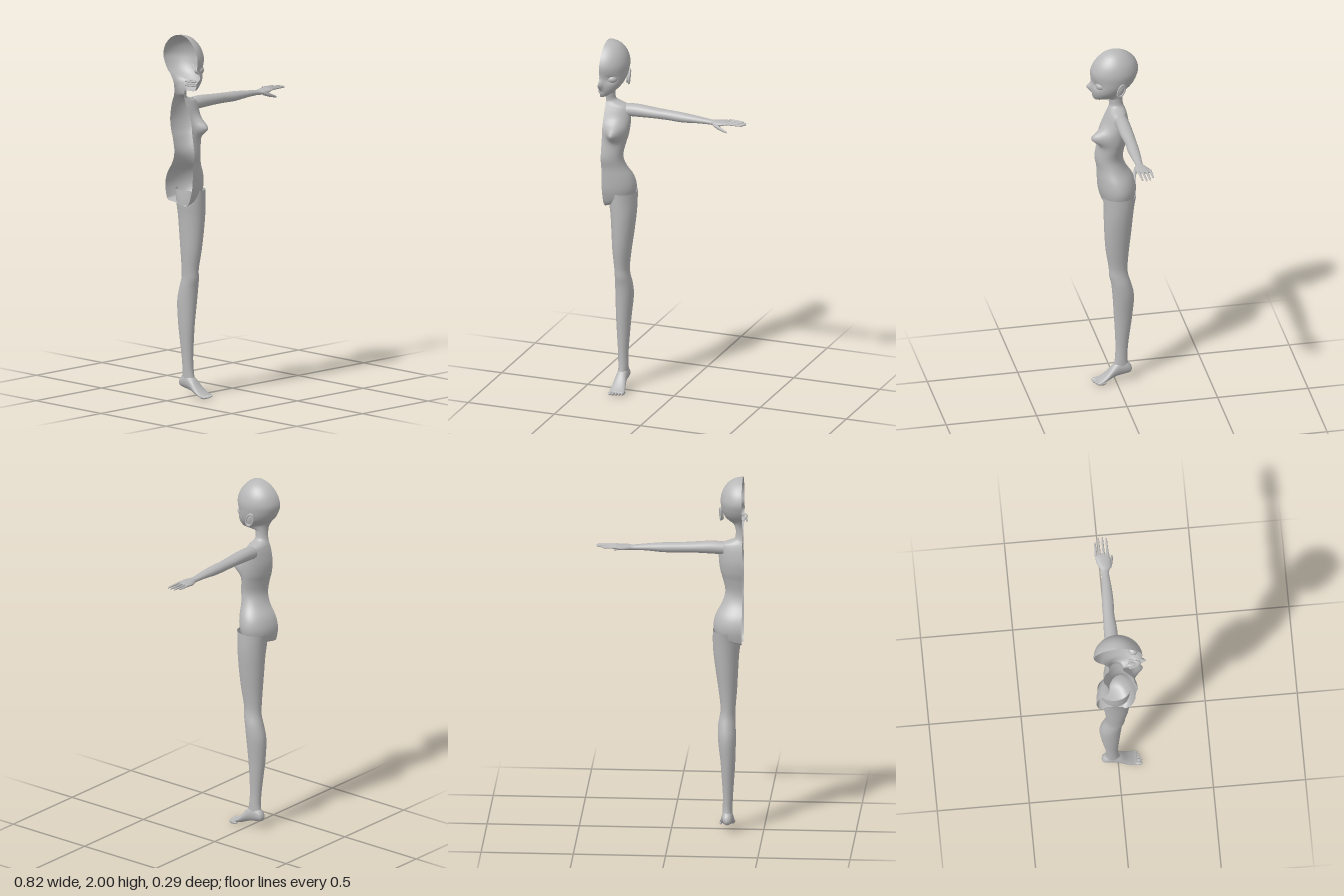
import * as THREE from 'three';

const MID = -0.387; // plane where the half figure is cut open
const skin = new THREE.MeshStandardMaterial({ color: 0xb8b8b8, side: THREE.DoubleSide });
skin.name = 'plain grey';

// Smoothly subdivides rows of numbers
function resample(rows, steps) {
  const out = [];
  for (let i = 0; i < rows.length - 1; i++) {
    const a = rows[Math.max(i - 1, 0)], b = rows[i], c = rows[i + 1], d = rows[Math.min(i + 2, rows.length - 1)];
    for (let k = 0; k < steps; k++) {
      const t = k / steps;
      out.push(b.map((v, n) => v + 0.5 * t * (c[n] - a[n]
        + t * (2 * a[n] - 5 * v + 4 * c[n] - d[n] + t * (3 * (v - c[n]) + d[n] - a[n])))));
    }
  }
  out.push(rows[rows.length - 1]);
  return out;
}

// Skins a list of rings, each a list of [x, y, z]
function skinRings(rings, closed) {
  const n = rings[0].length, index = [];
  for (let i = 0; i < rings.length - 1; i++) {
    for (let j = 0; j < (closed ? n : n - 1); j++) {
      const k = (j + 1) % n, a = i * n + j, b = i * n + k;
      index.push(a, b, a + n, b, b + n, a + n);
    }
  }
  const geo = new THREE.BufferGeometry();
  geo.setAttribute('position', new THREE.Float32BufferAttribute(rings.flat(2), 3));
  geo.setIndex(index);
  geo.computeVertexNormals();
  return geo;
}

// Closed elliptical loft; rows are [station, u0, u1, v0, v1]
const alongX = (s, u, v) => [s, u, v];
const alongY = (s, u, v) => [v, s, u];
const alongZ = (s, u, v) => [u, v, s];
function limb(rows, place, sides = 20, steps = 3) {
  return skinRings(resample(rows, steps).map(([s, u0, u1, v0, v1]) =>
    Array.from({ length: sides }, (_, j) => {
      const t = (j / sides) * Math.PI * 2;
      return place(s, (u0 + u1) / 2 + (u1 - u0) / 2 * Math.cos(t), (v0 + v1) / 2 + (v1 - v0) / 2 * Math.sin(t));
    })), true);
}

function add(group, name, geo, pos = [0, 0, 0], scale = [1, 1, 1], rot = [0, 0, 0]) {
  const mesh = new THREE.Mesh(geo, skin);
  mesh.name = name;
  mesh.position.set(...pos);
  mesh.scale.set(...scale);
  mesh.rotation.set(...rot);
  group.add(mesh);
  return mesh;
}

// Half shell of pelvis, torso, neck and head: [frontY, backY, frontZ, backZ, halfWidth]
const BODY = [
  [1.056, 1.075, 0.03, -0.09, 0.012], [1.07, 1.085, 0.05, -0.108, 0.07],
  [1.1, 1.1, 0.066, -0.115, 0.135], [1.16, 1.16, 0.082, -0.125, 0.158],
  [1.225, 1.225, 0.087, -0.11, 0.147], [1.29, 1.29, 0.09, -0.07, 0.112],
  [1.35, 1.35, 0.1, -0.055, 0.097], [1.42, 1.42, 0.09, -0.066, 0.11],
  [1.47, 1.47, 0.08, -0.08, 0.122], [1.53, 1.53, 0.072, -0.087, 0.13],
  [1.59, 1.59, 0.05, -0.08, 0.13], [1.628, 1.628, 0.033, -0.07, 0.12],
  [1.645, 1.645, 0.025, -0.063, 0.08], [1.66, 1.66, 0.02, -0.058, 0.045],
  [1.69, 1.69, 0.022, -0.055, 0.038], [1.7, 1.73, 0.03, -0.06, 0.04],
  [1.704, 1.76, 0.095, -0.075, 0.052], [1.72, 1.775, 0.11, -0.085, 0.074],
  [1.75, 1.79, 0.12, -0.1, 0.095], [1.79, 1.81, 0.122, -0.115, 0.109],
  [1.83, 1.84, 0.12, -0.13, 0.117], [1.88, 1.88, 0.124, -0.14, 0.121],
  [1.93, 1.93, 0.105, -0.125, 0.108], [1.97, 1.97, 0.07, -0.09, 0.08],
  [1.992, 1.992, 0.035, -0.05, 0.045], [2, 2, 0, -0.01, 0.002],
];

// Soft swellings and hollows on the front: [dx, y, spreadX, spreadY, depth]
const BUMPS = [
  [0.072, 1.495, 0.04, 0.04, 0.07],   // breast
  [0, 1.782, 0.014, 0.02, 0.024],     // nose
  [0.057, 1.81, 0.028, 0.018, -0.014], // eye socket
  [0, 1.742, 0.02, 0.008, -0.006],    // mouth
];

function bodyShell() {
  const sides = 40;
  return skinRings(resample(BODY, 4).map(([yf, yb, zf, zb, w]) =>
    Array.from({ length: sides + 1 }, (_, j) => {
      const t = (j / sides) * Math.PI, c = Math.cos(t);
      const dx = w * Math.sin(t), y = yf + (yb - yf) * (1 - c) / 2;
      let z = (zf + zb) / 2 + (zf - zb) / 2 * c;
      if (c > 0) {
        for (const [bx, by, sx, sy, d] of BUMPS) {
          z += d * Math.exp(-(((dx - bx) / sx) ** 2) - ((y - by) / sy) ** 2) * Math.min(1, c * 3);
        }
      }
      return [MID + dx, y, z];
    })), false);
}

export function createModel() {
  const model = new THREE.Group();
  model.name = 'halfFigure';
  const ball = new THREE.SphereGeometry(1, 24, 16);

  add(model, 'bodyShell', bodyShell());

  // Face details
  const head = new THREE.Group();
  head.name = 'headDetails';
  model.add(head);
  add(head, 'eye', ball, [-0.329, 1.81, 0.077], [0.03, 0.023, 0.026], [0, 0.4, 0]);
  add(head, 'upperEyelid', new THREE.TorusGeometry(0.027, 0.003, 6, 20, Math.PI),
    [-0.329, 1.811, 0.095], [1, 0.75, 1], [0, 0.5, 0]);
  add(head, 'ear', ball, [-0.273, 1.795, -0.022], [0.009, 0.036, 0.02], [-0.25, 0.25, -0.15]);
  add(head, 'earRim', new THREE.TorusGeometry(0.02, 0.005, 8, 24),
    [-0.267, 1.798, -0.024], [1, 1.75, 1], [-0.25, Math.PI / 2 + 0.25, -0.1]);
  for (const y of [1.735, 1.757]) {
    add(head, 'teeth', new THREE.TorusGeometry(0.018, 0.005, 8, 20, Math.PI),
      [MID, y, 0.05], [1, 2.8, 1], [Math.PI / 2, 0, 0]);
  }
  add(head, 'tongue', ball, [MID, 1.742, 0.07], [0.013, 0.006, 0.03]);

  // Arm and palm: [x, y0, y1, z0, z1]
  const arm = new THREE.Group();
  arm.name = 'arm';
  model.add(arm);
  add(arm, 'armAndPalm', limb([
    [-0.285, 1.57, 1.64, -0.064, 0.012], [-0.22, 1.573, 1.643, -0.064, 0.012],
    [-0.12, 1.577, 1.636, -0.062, 0.01], [-0.04, 1.576, 1.631, -0.059, 0.003],
    [0.04, 1.575, 1.628, -0.057, 0.006], [0.13, 1.582, 1.62, -0.05, 0.002],
    [0.205, 1.584, 1.612, -0.044, -0.004], [0.235, 1.583, 1.613, -0.054, 0.01],
    [0.265, 1.585, 1.613, -0.066, 0.013], [0.295, 1.594, 1.613, -0.07, 0.008],
    [0.31, 1.599, 1.611, -0.068, 0.004], [0.312, 1.605, 1.605, -0.03, -0.03],
  ], alongX));
  const fingers = [[-0.065, 0.38], [-0.045, 0.403], [-0.023, 0.408], [-0.002, 0.4]];
  for (const [z, tip] of fingers) {
    add(arm, 'finger', limb([[0.295, 0.008], [0.34, 0.0062], [tip - 0.012, 0.005], [tip - 0.003, 0.0035], [tip, 0]]
      .map(([x, r]) => [x, 1.606 - r * 0.9, 1.606 + r * 0.9, z - r, z + r]), alongX, 10));
  }
  add(arm, 'thumb', limb([
    [0.23, 1.585, 1.605, -0.012, 0.01], [0.26, 1.573, 1.596, 0.002, 0.02],
    [0.29, 1.566, 1.582, 0.012, 0.025], [0.31, 1.562, 1.572, 0.016, 0.025], [0.316, 1.564, 1.564, 0.021, 0.021],
  ], alongX, 12));

  // Leg: [y, z0, z1, x0, x1]
  const leg = new THREE.Group();
  leg.name = 'leg';
  model.add(leg);
  add(leg, 'thighAndCalf', limb([
    [0.07, -0.084, 0.02, -0.331, -0.279], [0.12, -0.066, 0.005, -0.332, -0.278],
    [0.2, -0.068, 0, -0.335, -0.28], [0.3, -0.08, 0.003, -0.342, -0.274],
    [0.4, -0.093, 0.009, -0.348, -0.267], [0.52, -0.101, 0.017, -0.351, -0.254],
    [0.6, -0.083, 0.025, -0.349, -0.254], [0.65, -0.069, 0.036, -0.346, -0.262],
    [0.7, -0.066, 0.038, -0.348, -0.266], [0.8, -0.073, 0.054, -0.356, -0.254],
    [0.9, -0.083, 0.062, -0.361, -0.24], [1, -0.092, 0.066, -0.367, -0.228],
    [1.07, -0.1, 0.067, -0.375, -0.224], [1.14, -0.112, 0.07, -0.37, -0.225],
  ], alongY, 24));

  // Foot: [z, x0, x1, y0, y1]
  add(leg, 'foot', limb([
    [-0.09, -0.306, -0.304, 0.066, 0.068], [-0.082, -0.325, -0.285, 0.047, 0.093],
    [-0.055, -0.333, -0.277, 0.039, 0.118], [-0.02, -0.334, -0.275, 0.033, 0.122],
    [0.015, -0.336, -0.27, 0.023, 0.096], [0.05, -0.339, -0.262, 0.01, 0.056],
    [0.085, -0.339, -0.255, 0.002, 0.028], [0.102, -0.334, -0.258, 0.002, 0.02],
    [0.106, -0.297, -0.295, 0.01, 0.012],
  ], alongZ));
  for (let i = 0; i < 5; i++) {
    const r = i === 0 ? 0.0115 : 0.0085 - i * 0.0004;
    add(leg, 'toe', ball, [-0.327 + i * 0.0165, 0.0095, 0.106 - i * i * 0.0013], [r, 0.0095, 0.026]);
  }
  return model;
}
